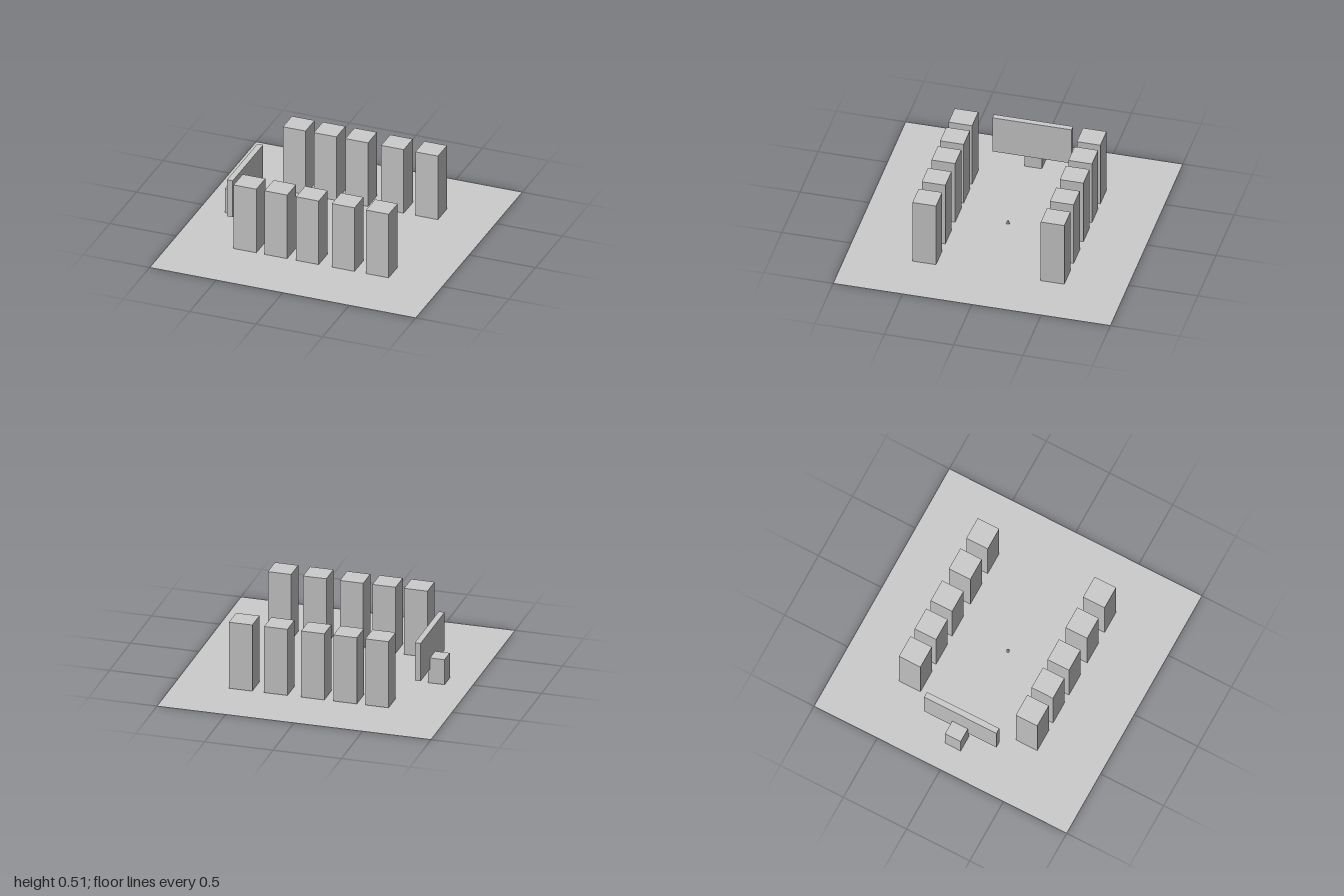
import * as THREE from 'three';

export function createModel() {
  const model = new THREE.Group();
  const material = new THREE.MeshStandardMaterial({ color: 0xcccccc, flatShading: true });
  const floorY = 0.005;

  const add = (name, geometry, x, y, z, mat = material) => {
    const mesh = new THREE.Mesh(geometry, mat);
    mesh.name = name;
    mesh.position.set(x, y, z);
    model.add(mesh);
    return mesh;
  };

  // Thin square ground, seen from both sides
  const groundMaterial = material.clone();
  groundMaterial.side = THREE.DoubleSide;
  add('ground', new THREE.PlaneGeometry(2, 2).rotateX(-Math.PI / 2), 0, 0, 0, groundMaterial);

  // Two facing rows of five square pillars
  const height = 0.503;
  const pillar = new THREE.BoxGeometry(0.17, height, 0.17);
  for (const [row, z] of [['front', 0.445], ['back', -0.48]]) {
    [-0.472, -0.24, -0.003, 0.266, 0.523].forEach((x, i) => {
      add(`${row}Pillar${i + 1}`, pillar, x, floorY + height / 2, z);
    });
  }

  // Wide upright panel with its support block behind
  add('panel', new THREE.BoxGeometry(0.043, 0.288, 0.572), -0.684, 0.254, 0);
  add('panelSupport', new THREE.BoxGeometry(0.122, 0.19, 0.124), -0.751, 0.1, -0.002);

  // Tiny marker at the centre of the ground
  add('markerBase', new THREE.CylinderGeometry(0.013, 0.013, 0.006, 12), 0, 0.008, 0);
  add('markerPost', new THREE.CylinderGeometry(0.003, 0.003, 0.022, 8), 0, 0.021, 0);

  return model;
}
